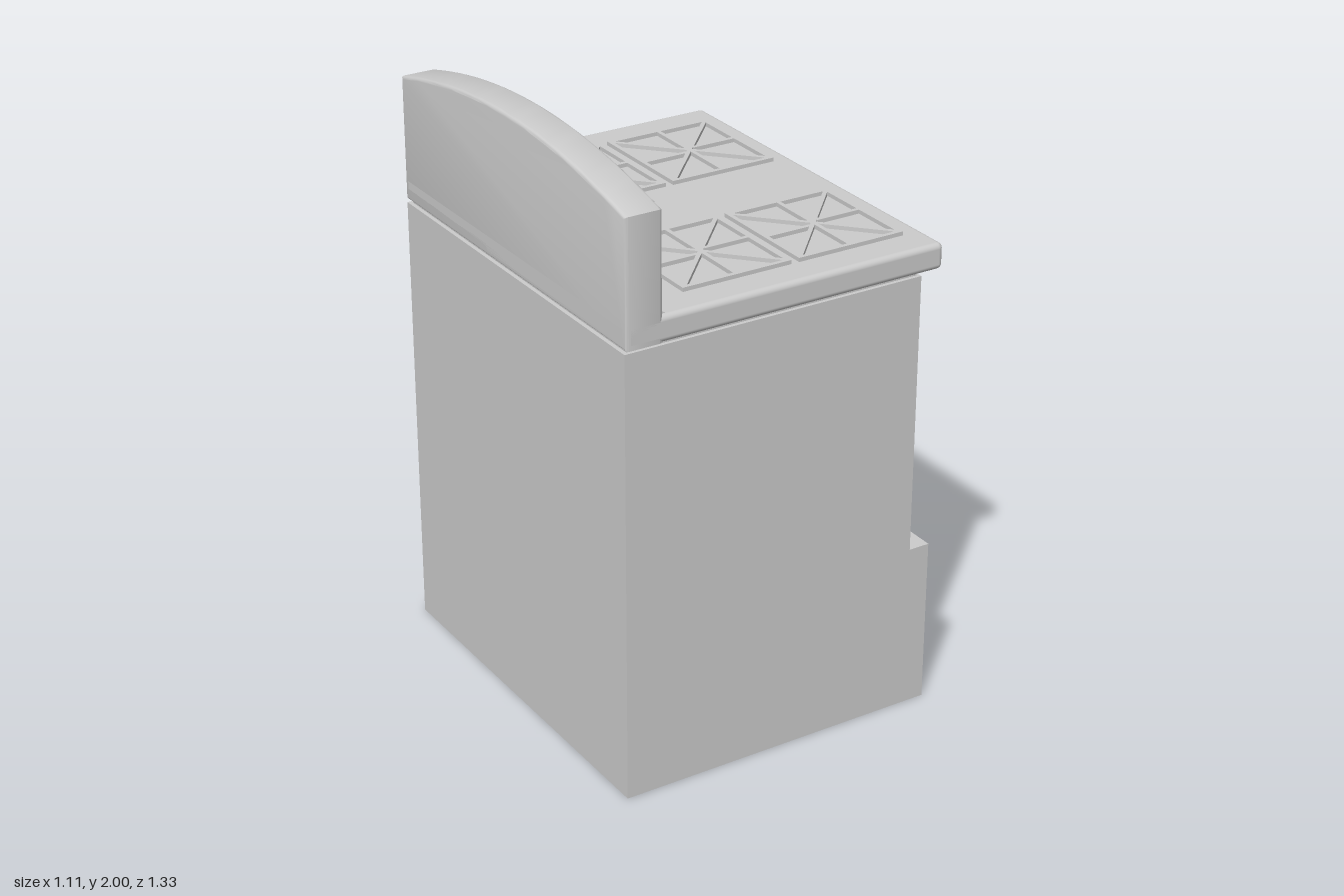
import * as THREE from 'three';
import { RoundedBoxGeometry } from 'three/addons/geometries/RoundedBoxGeometry.js';
import { toCreasedNormals } from 'three/addons/utils/BufferGeometryUtils.js';

const grey = new THREE.MeshStandardMaterial({ color: 0xcccccc, side: THREE.DoubleSide });

export function createModel() {
  const model = new THREE.Group();

  const add = (name, geometry, parent = model) => {
    const mesh = new THREE.Mesh(geometry, grey);
    mesh.name = name;
    parent.add(mesh);
    return mesh;
  };

  // Box given by its lower and upper corners
  const box = (name, [x0, y0, z0], [x1, y1, z1], parent) => {
    const g = new THREE.BoxGeometry(x1 - x0, y1 - y0, z1 - z0);
    g.translate((x0 + x1) / 2, (y0 + y1) / 2, (z0 + z1) / 2);
    return add(name, g, parent);
  };

  // Extrude a z-y outline along x, from x0 to x1
  const extrudeX = (shape, x0, x1, bevel = 0) => {
    const g = new THREE.ExtrudeGeometry(shape, {
      depth: x1 - x0 - 2 * bevel, bevelEnabled: bevel > 0, bevelThickness: bevel,
      bevelSize: bevel, bevelOffset: -bevel, bevelSegments: 3, curveSegments: 24,
    });
    g.translate(0, 0, x0 + bevel).rotateY(Math.PI / 2);
    return toCreasedNormals(g, 0.6);
  };

  // Oven opening: an oblong with softened corners
  const half = [[0.46, 0.67], [0.53, 0.695], [0.545, 0.72], [0.56, 0.79],
    [0.56, 1.31], [0.548, 1.365], [0.525, 1.387], [0.46, 1.4]];
  const opening = [...half, ...half.map(([z, y]) => [-z, y]).reverse()];

  // Body: base with front drawer step, hollow oven section, back and neck
  box('base', [-0.553, 0.005, -0.66], [0.55, 0.56, 0.66]);
  const front = new THREE.Shape([[-0.66, 0.56], [0.66, 0.56], [0.66, 1.492], [-0.66, 1.492]]
    .map(([z, y]) => new THREE.Vector2(z, y)));
  front.holes.push(new THREE.Path(opening.map(([z, y]) => new THREE.Vector2(z, y)).reverse()));
  add('ovenWalls', extrudeX(front, -0.37, 0.478));
  box('bodyBack', [-0.553, 0.56, -0.66], [-0.37, 1.492, 0.66]);
  box('neck', [-0.54, 1.485, -0.648], [0.468, 1.51, 0.648]);

  // Rounded inner end of the oven, lofted from shrinking copies of the opening
  const rings = [[-0.18, 0], [-0.26, 0.012], [-0.32, 0.04], [-0.355, 0.08], [-0.368, 0.13]];
  const n = opening.length, pos = [], index = [];
  rings.forEach(([x, inset], r) => {
    opening.forEach(([z, y], i) => {
      pos.push(x, 1.035 + (y - 1.035) * (1 - inset / 0.365), z * (1 - inset / 0.56));
      if (r === 0) return;
      const a = (r - 1) * n + i, b = (r - 1) * n + (i + 1) % n;
      index.push(a, a + n, b, b, a + n, b + n);
    });
  });
  const loft = new THREE.BufferGeometry();
  loft.setAttribute('position', new THREE.Float32BufferAttribute(pos, 3));
  loft.setIndex(index);
  loft.computeVertexNormals();
  add('ovenInnerEnd', loft);

  // Oven rack: a frame with bars running front to back
  const rack = new THREE.Group();
  rack.name = 'ovenRack';
  model.add(rack);
  for (const x of [-0.34, 0.474]) {
    box('rackRail', [x, 1.052, -0.545], [x + 0.014, 1.077, 0.545], rack);
  }
  for (const z of [-0.545, 0.53]) {
    box('rackSide', [-0.33, 1.052, z], [0.48, 1.077, z + 0.015], rack);
  }
  const bars = 18;
  for (let i = 1; i < bars; i++) {
    const z = -0.54 + (1.08 * i) / bars;
    box('rackBar', [-0.33, 1.055, z - 0.009], [0.48, 1.073, z + 0.009], rack);
  }

  // Cooktop slab with softened edges
  const slab = new RoundedBoxGeometry(1.106, 0.085, 1.334, 4, 0.018);
  slab.translate(0, 1.5425, 0);
  add('cooktop', slab);

  // Arched backsplash
  const arch = new THREE.Shape();
  arch.moveTo(-0.667, 1.502);
  arch.lineTo(0.667, 1.502);
  arch.lineTo(0.667, 1.91);
  arch.quadraticCurveTo(0, 2.09, -0.667, 1.91);
  add('backsplash', extrudeX(arch, -0.553, -0.43, 0.01));

  // Small cove where the backsplash meets the cooktop
  const cove = new THREE.Shape();
  cove.moveTo(-0.435, 1.58);
  cove.lineTo(-0.405, 1.584);
  cove.quadraticCurveTo(-0.43, 1.585, -0.43, 1.605);
  cove.lineTo(-0.435, 1.605);
  const coveGeo = new THREE.ExtrudeGeometry(cove, { depth: 1.3, bevelEnabled: false, curveSegments: 6 });
  add('backsplashCove', toCreasedNormals(coveGeo.translate(0, 0, -0.65), 0.6));

  // Burner grates: a square frame with eight spokes
  const W = 0.375, D = 0.4, T = 0.014;
  const bar = (name, parent, x0, z0, x1, z1) => {
    const g = new THREE.BoxGeometry(Math.hypot(x1 - x0, z1 - z0), 0.02, T);
    const m = add(name, g, parent);
    m.position.set((x0 + x1) / 2, 0, (z0 + z1) / 2);
    m.rotation.y = -Math.atan2(z1 - z0, x1 - x0);
  };
  for (const [x, z] of [[-0.103, -0.344], [0.299, -0.344], [-0.108, 0.357], [0.294, 0.357]]) {
    const grate = new THREE.Group();
    grate.name = 'burnerGrate';
    grate.position.set(x, 1.588, z);
    model.add(grate);
    const w = W / 2 - T / 2, d = D / 2 - T / 2;
    for (const s of [-1, 1]) {
      bar('grateFrame', grate, -W / 2, s * d, W / 2, s * d);
      bar('grateFrame', grate, s * w, -d, s * w, d);
      bar('grateSpoke', grate, 0, s * d, 0, 0);
      bar('grateSpoke', grate, s * w, s * -0.014, s * 0.02, s * -0.014);
      for (const t of [-1, 1]) bar('grateSpoke', grate, s * w, t * d, 0, 0);
    }
  }

  return model;
}
